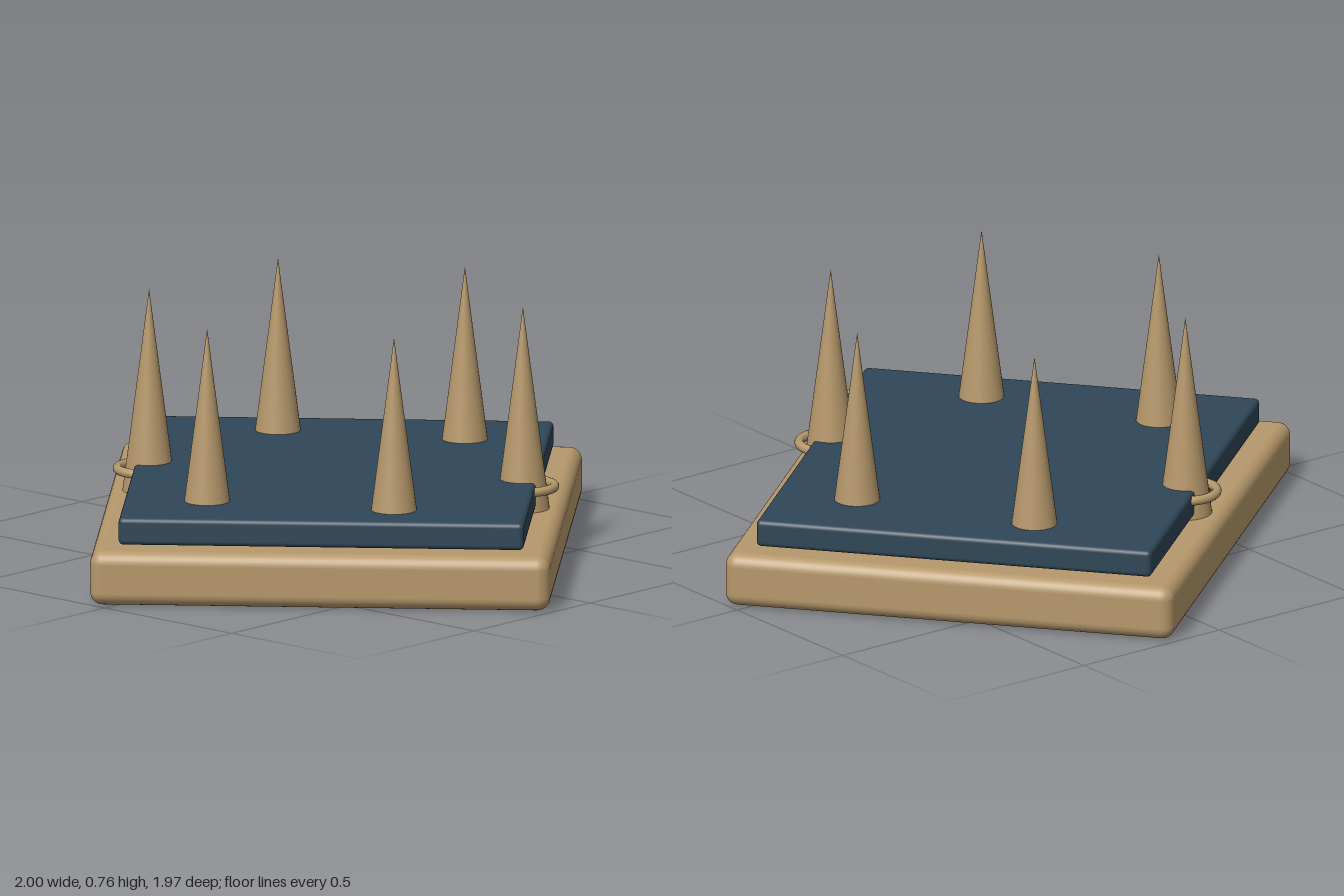
import * as THREE from 'three';
import { RoundedBoxGeometry } from 'three/addons/geometries/RoundedBoxGeometry.js';

export function createModel() {
  const model = new THREE.Group();
  model.name = 'spikedPlatform';
  const tan = new THREE.MeshStandardMaterial({ color: 0xb6986b });
  tan.name = 'tan';
  const navy = new THREE.MeshStandardMaterial({ color: 0x2f4657 });
  navy.name = 'navy';

  const add = (parent, name, geometry, material, x, y, z) => {
    const mesh = new THREE.Mesh(geometry, material);
    mesh.name = name;
    mesh.position.set(x, y, z);
    parent.add(mesh);
    return mesh;
  };

  // Two stacked slabs, turned together
  const slabs = new THREE.Group();
  slabs.name = 'slabs';
  slabs.rotation.y = THREE.MathUtils.degToRad(38.7);
  model.add(slabs);
  add(slabs, 'base', new RoundedBoxGeometry(1.53, 0.16, 1.342, 4, 0.038), tan, 0, 0.08, 0);
  add(slabs, 'topPlate', new RoundedBoxGeometry(1.38, 0.08, 1.182, 3, 0.014), navy, 0, 0.207, 0);

  // Ring of six spikes, each with a collar
  const spikeGeometry = new THREE.ConeGeometry(0.078, 0.602, 32);
  const collarGeometry = new THREE.TorusGeometry(0.092, 0.014, 12, 40);
  collarGeometry.rotateX(Math.PI / 2);
  for (let i = 0; i < 6; i++) {
    const angle = (i * Math.PI) / 3;
    const spike = new THREE.Group();
    spike.name = 'spike' + (i + 1);
    spike.position.set(0.557 * Math.cos(angle), 0, 0.557 * Math.sin(angle));
    add(spike, 'cone', spikeGeometry, tan, 0, 0.459, 0);
    add(spike, 'collar', collarGeometry, tan, 0, 0.225, 0);
    model.add(spike);
  }
  return model;
}
